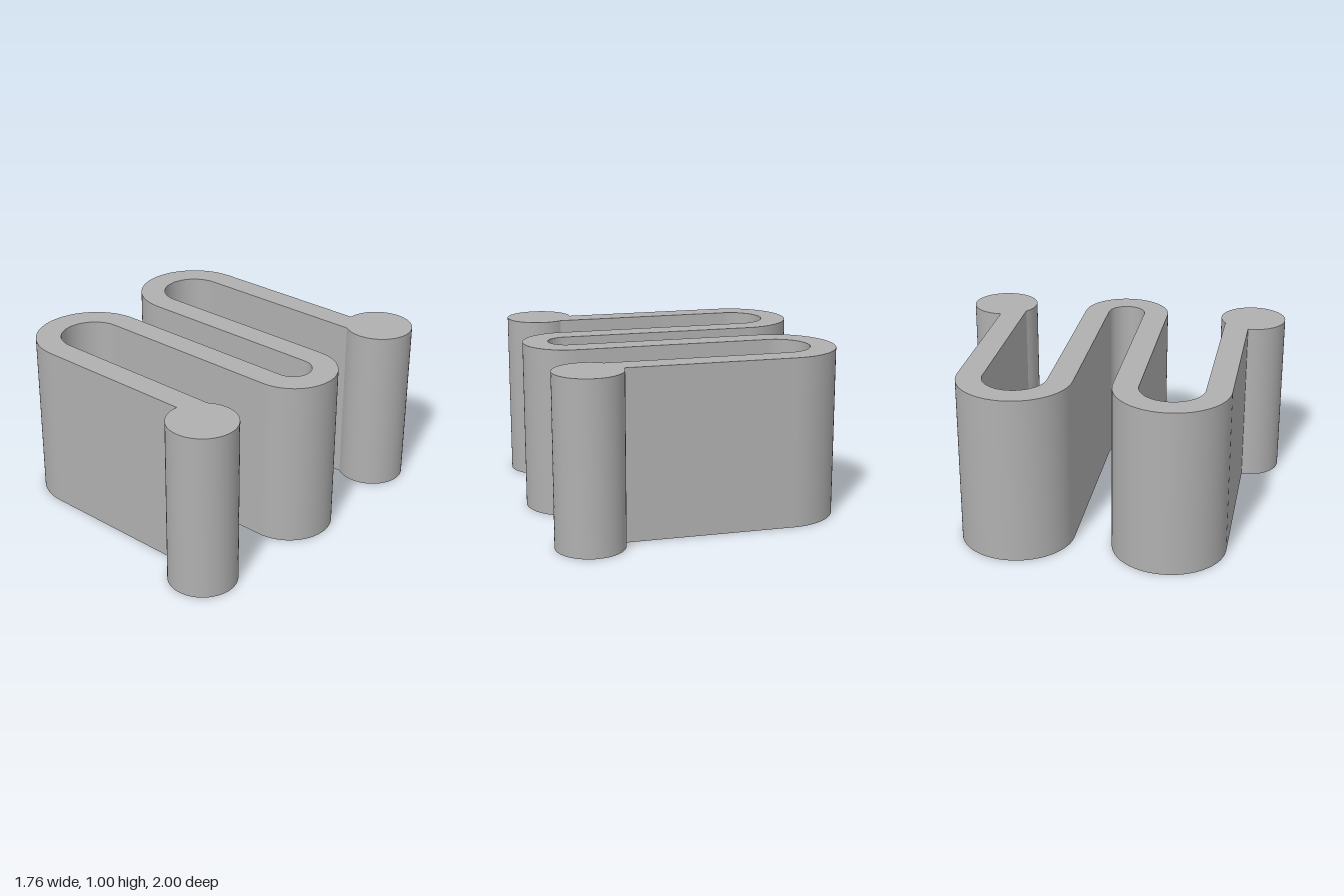
import * as THREE from 'three';
import { toCreasedNormals } from 'three/addons/utils/BufferGeometryUtils.js';

const PI = Math.PI;
const HALF = 0.0745;   // half the band thickness
const HEIGHT = 1;

export function createModel() {
  const group = new THREE.Group();
  group.name = 'serpentineSpring';
  const grey = new THREE.MeshStandardMaterial({ color: 0xb0b0b0 });
  grey.name = 'grey';

  // Plan outline, drawn counter-clockwise; the shape's y runs towards the back
  const left = -0.545, right = 0.615;
  const backTurn = 0.453, midTurn = 0.003, frontTurn = -0.447;
  const wide = 0.262, narrow = 0.188;   // centreline radii of the turns
  const bulbX = 0.65, bulbY = 0.8, bulbR = 0.2;
  const s = new THREE.Shape();

  const leftTurn = (y, side) => side > 0
    ? s.absarc(left, y, wide + HALF, PI / 2, 1.5 * PI, false)
    : s.absarc(left, y, wide - HALF, 1.5 * PI, PI / 2, true);
  // Round end post, open where the band runs into it
  const bulb = (cy, fromY, toY) => s.absarc(bulbX, cy, bulbR,
    PI - Math.asin((fromY - cy) / bulbR),
    3 * PI - Math.asin((toY - cy) / bulbR), false);

  // Outer side of the band, back to front
  leftTurn(backTurn, 1);
  s.absarc(right, midTurn, narrow - HALF, PI / 2, -PI / 2, true);
  leftTurn(frontTurn, 1);
  bulb(-bulbY, frontTurn - wide - HALF, frontTurn - wide + HALF);
  // Other side of the band, front to back
  leftTurn(frontTurn, -1);
  s.absarc(right, midTurn, narrow + HALF, -PI / 2, PI / 2, false);
  leftTurn(backTurn, -1);
  bulb(bulbY, backTurn + wide - HALF, backTurn + wide + HALF);
  s.closePath();

  // Band and posts raised as one solid
  const geometry = new THREE.ExtrudeGeometry(s, {
    depth: HEIGHT, bevelEnabled: false, curveSegments: 24,
  });
  geometry.rotateX(-PI / 2);
  const band = new THREE.Mesh(toCreasedNormals(geometry, 0.5), grey);
  band.name = 'serpentineBandWithEndPosts';
  group.add(band);
  return group;
}
